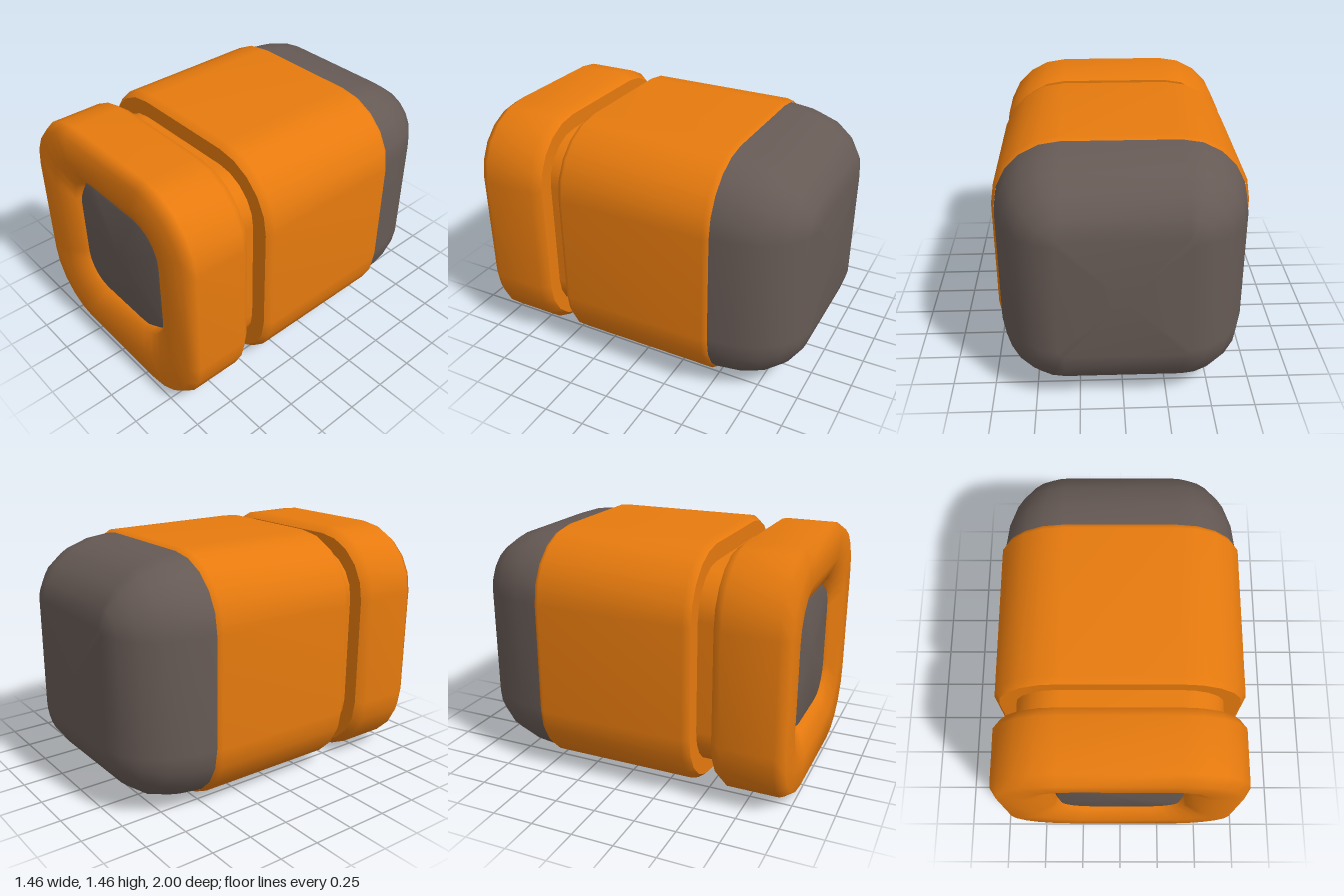
import * as THREE from 'three';

const CORNER_STEPS = 5;

// Rounded-square outline, counter-clockwise seen from the front
function outline(half, radius) {
  const pts = [];
  const c = half - radius;
  for (let q = 0; q < 4; q++) {
    const sx = q === 0 || q === 3 ? 1 : -1;
    const sy = q < 2 ? 1 : -1;
    for (let s = 0; s <= CORNER_STEPS; s++) {
      const a = (q + s / CORNER_STEPS) * Math.PI / 2;
      pts.push([sx * c + radius * Math.cos(a), sy * c + radius * Math.sin(a)]);
    }
  }
  return pts;
}

// Skin through rings [half size, z, corner radius], listed along the surface
function loft(name, material, rings) {
  const pos = [], index = [];
  const n = 4 * (CORNER_STEPS + 1);
  for (const [half, z, radius = Math.max(half - 0.33, 0)] of rings) {
    for (const [x, y] of outline(half, radius)) pos.push(x, y, z);
  }
  for (let i = 0; i < rings.length - 1; i++) {
    for (let j = 0; j < n; j++) {
      const a = i * n + j, b = i * n + (j + 1) % n;
      if (rings[i][0] > 0) index.push(a, a + n, b);
      if (rings[i + 1][0] > 0) index.push(b, a + n, b + n);
    }
  }
  const geo = new THREE.BufferGeometry();
  geo.setAttribute('position', new THREE.Float32BufferAttribute(pos, 3));
  geo.setIndex(index);
  geo.computeVertexNormals();
  const mesh = new THREE.Mesh(geo, material);
  mesh.name = name;
  mesh.position.y = 0.73;
  return mesh;
}

export function createModel() {
  const orange = new THREE.MeshStandardMaterial({ color: 0xe67a0e });
  orange.name = 'orange';
  const gray = new THREE.MeshStandardMaterial({ color: 0x665a55 });
  gray.name = 'warmGray';

  const model = new THREE.Group();
  model.name = 'capsule';
  model.add(
    // Slightly domed plug set into the front opening
    loft('frontPlug', gray, [
      [0, 0.94, 0], [0.365, 0.935, 0.18], [0.4, 0.89, 0.2],
    ]),
    // Front collar, rolling into the opening
    loft('frontCollar', orange, [
      [0.395, 0.89, 0.2], [0.41, 0.95, 0.21], [0.53, 1, 0.27],
      [0.69, 1], [0.73, 0.94], [0.73, 0.63], [0.69, 0.575],
    ]),
    loft('collarBack', orange, [[0.69, 0.575], [0.59, 0.575]]),
    // Narrow neck between collar and body
    loft('neck', orange, [[0.6, 0.59], [0.6, 0.43]]),
    loft('bodyFront', orange, [[0.59, 0.45], [0.7, 0.45]]),
    // Main body
    loft('body', orange, [
      [0.7, 0.45], [0.73, 0.41], [0.73, -0.48], [0.712, -0.51],
    ]),
    // Rounded rear cap
    loft('rearCap', gray, [
      [0.712, -0.5], [0.695, -0.65], [0.65, -0.79], [0.57, -0.9],
      [0.47, -0.97], [0.36, -1], [0, -1, 0],
    ]),
  );
  return model;
}
